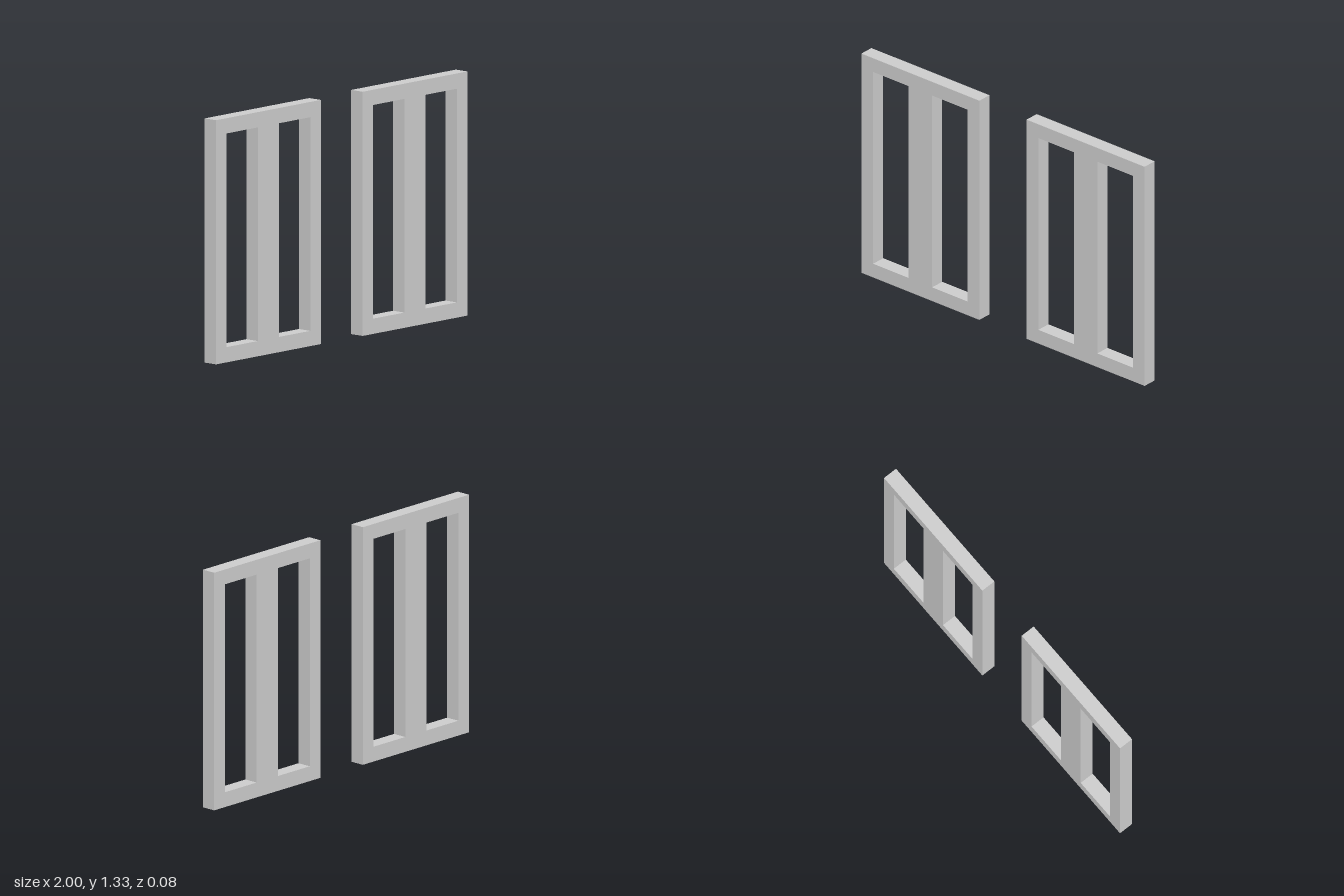
import * as THREE from 'three';

const U = 1 / 12; // thickness of a frame bar
const W = 10 * U, H = 16 * U; // size of one frame

// Adds a closed rectangle to a shape or path
function rect(path, x0, y0, x1, y1) {
  path.moveTo(x0, y0);
  path.lineTo(x1, y0);
  path.lineTo(x1, y1);
  path.lineTo(x0, y1);
  path.closePath();
  return path;
}

export function createModel() {
  const group = new THREE.Group();
  group.name = 'windowFrames';
  const material = new THREE.MeshStandardMaterial({ color: 0xcccccc, flatShading: true });

  // Frame outline with two tall openings either side of a double-width mullion
  const outline = rect(new THREE.Shape(), -W / 2, 0, W / 2, H);
  for (const x of [-4 * U, U]) {
    outline.holes.push(rect(new THREE.Path(), x, U, x + 3 * U, H - U));
  }
  const geometry = new THREE.ExtrudeGeometry(outline, { depth: U, bevelEnabled: false });
  geometry.translate(0, 0, -U / 2);

  // One frame on each side of the gap
  for (const [name, side] of [['leftFrame', 1], ['rightFrame', -1]]) {
    const frame = new THREE.Mesh(geometry, material);
    frame.name = name;
    frame.position.x = side * (1 - W / 2);
    group.add(frame);
  }
  return group;
}
